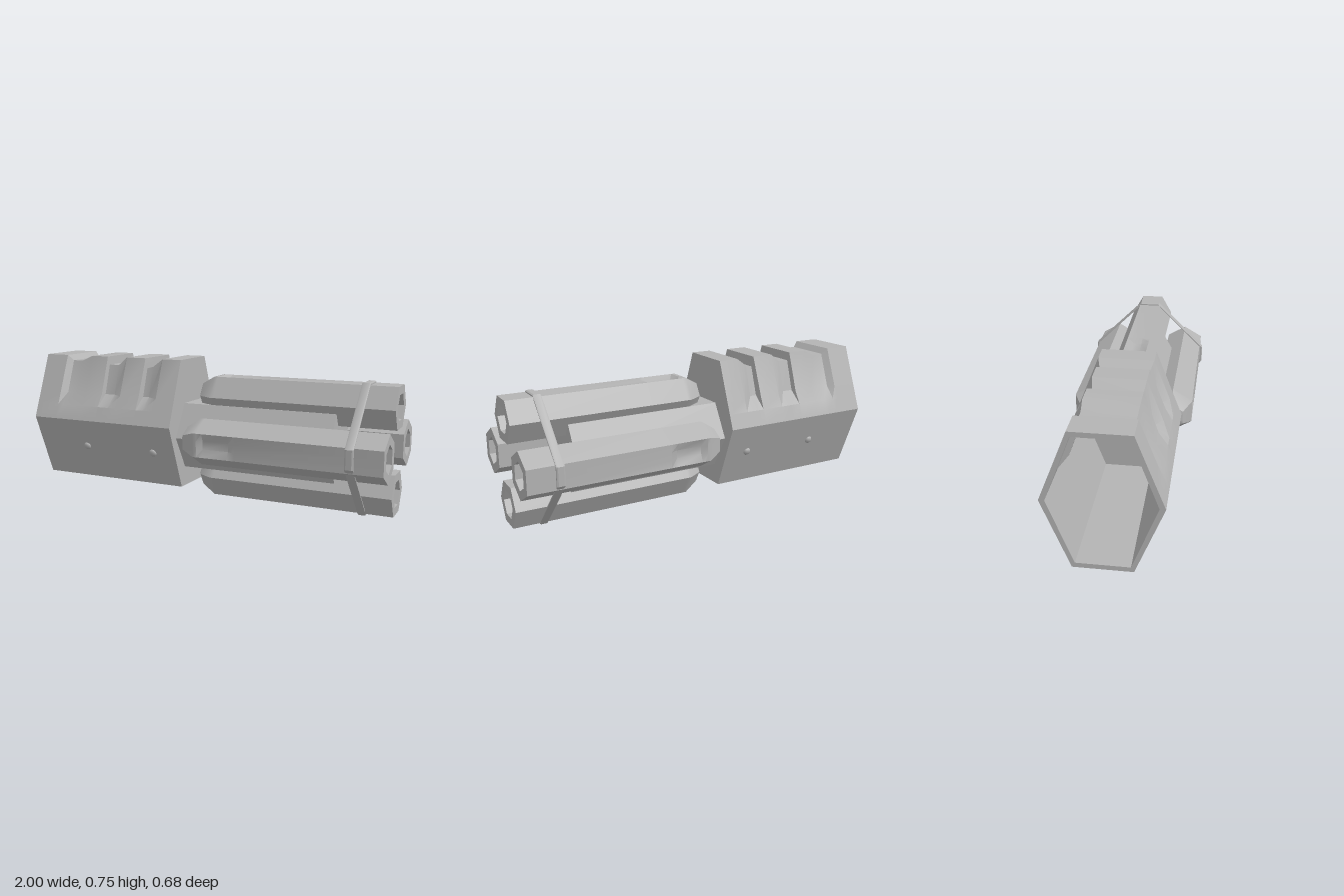
import * as THREE from 'three';
import { toCreasedNormals } from 'three/addons/utils/BufferGeometryUtils.js';

const metal = new THREE.MeshStandardMaterial({ color: 0xb3b3b3 });
metal.name = 'grey metal';
const AXIS_Y = 0.336;

// Skin a chain of rings (points run from +y towards +z), with flat end caps
function loft(name, rings, capped = true) {
  const pos = [];
  const tri = (...pts) => pts.forEach((p) => pos.push(p.x, p.y, p.z));
  const n = rings[0].length;
  for (let r = 0; r < rings.length - 1; r++) {
    const a = rings[r], b = rings[r + 1];
    for (let i = 0; i < n; i++) {
      const j = (i + 1) % n;
      tri(a[i], a[j], b[i]);
      tri(a[j], b[j], b[i]);
    }
  }
  if (capped) {
    const middle = (ring) => ring.reduce((s, p) => s.add(p), new THREE.Vector3()).divideScalar(n);
    const first = rings[0], last = rings[rings.length - 1];
    const c0 = middle(first), c1 = middle(last);
    for (let i = 0; i < n; i++) {
      const j = (i + 1) % n;
      tri(c0, first[j], first[i]);
      tri(c1, last[i], last[j]);
    }
  }
  const geo = new THREE.BufferGeometry();
  geo.setAttribute('position', new THREE.Float32BufferAttribute(pos, 3));
  const mesh = new THREE.Mesh(toCreasedNormals(geo, 0.5), metal);
  mesh.name = name;
  return mesh;
}

// Ring from half an outline of [z, y], listed from top to bottom on the +z side
function mirroredRing(x, half) {
  const left = half.map(([z, y]) => new THREE.Vector3(x, y, z));
  const right = half.map(([z, y]) => new THREE.Vector3(x, y, -z)).reverse();
  return [...left, ...right];
}

// Hexagon with a flat on top; the top flat has two extra points that can sink
function hexRing(x, r, dent = 0) {
  const f = r * 0.866;
  return mirroredRing(x, [[r * 0.17, f - dent], [r * 0.5, f], [r, 0], [r * 0.5, -f]]);
}

// Housing section: x, top height, top half-width, side inset
const stations = [
  [-1, 0.745, 0.14, 0], [-0.86, 0.745, 0.14, 0],
  [-0.83, 0.715, 0.125, 0.03], [-0.77, 0.715, 0.125, 0.03],
  [-0.70, 0.745, 0.13, 0.02], [-0.595, 0.745, 0.13, 0.02],
  [-0.59, 0.70, 0.12, 0.05], [-0.53, 0.70, 0.12, 0.05],
  [-0.47, 0.745, 0.13, 0.01], [-0.352, 0.745, 0.13, 0.01],
  [-0.347, 0.69, 0.12, 0.05], [-0.31, 0.70, 0.12, 0.05],
  [-0.24, 0.745, 0.14, 0], [-0.13, 0.745, 0.14, 0],
];

function housingRing([x, top, half, inset], inner) {
  const outline = [[half, top], [0.22 - inset, 0.54], [0.245, 0.477], [0.275, 0.4], [0.14, 0.055]];
  return mirroredRing(inner ? Math.min(x, -0.16) : x,
    outline.map(([z, y]) => (inner ? [z * 0.9, 0.4 + (y - 0.4) * 0.93] : [z, y])));
}

export function createModel() {
  const model = new THREE.Group();
  model.name = 'barrelCluster';

  // Hollow housing, open at the rear, with grooves across its top
  model.add(loft('housing', [
    ...[...stations].reverse().map((s) => housingRing(s, true)),
    ...stations.map((s) => housingRing(s, false)),
  ]));

  // Screws on both sloping sides
  const slope = Math.atan2(0.135, 0.345);
  for (const side of [1, -1]) {
    for (const x of [-0.69, -0.265]) {
      const holder = new THREE.Group();
      holder.name = 'screw';
      const head = new THREE.Mesh(new THREE.SphereGeometry(0.022, 8, 6), metal);
      head.name = 'screwHead';
      head.scale.z = 0.6;
      holder.add(head);
      holder.position.set(x, 0.245, side * 0.214);
      holder.rotation.x = side * slope;
      model.add(holder);
    }
  }

  // Central hexagonal core
  const core = loft('core', [hexRing(-0.14, 0.202), hexRing(0.71, 0.202)]);
  core.position.y = AXIS_Y;
  model.add(core);

  // Four hollow hexagonal barrels, each with a sunken slot on its outer flat
  for (let i = 0; i < 4; i++) {
    const holder = new THREE.Group();
    holder.name = 'barrelMount';
    const barrel = loft('barrel', [
      hexRing(-0.07, 0.03), hexRing(-0.05, 0.072), hexRing(0.03, 0.122),
      hexRing(0.05, 0.122), hexRing(0.08, 0.122, 0.018), hexRing(0.22, 0.122, 0.018),
      hexRing(0.26, 0.122), hexRing(1, 0.122),
      hexRing(1, 0.073), hexRing(0.7, 0.073),
    ]);
    barrel.position.y = 0.216;
    holder.add(barrel);
    holder.position.y = AXIS_Y;
    holder.rotation.x = i * Math.PI / 2;
    model.add(holder);
  }

  // Strap around the barrels near the muzzles
  const strapRing = (x, inset) => mirroredRing(x, [
    [0.055, 0.332 - inset], [0.338 - inset, 0.055], [0.338 - inset, -0.04], [0.048, -0.336 + inset],
  ]);
  const strap = loft('strap', [
    strapRing(0.82, 0.012), strapRing(0.82, 0.004), strapRing(0.827, 0), strapRing(0.855, 0),
    strapRing(0.862, 0.004), strapRing(0.862, 0.012), strapRing(0.82, 0.012),
  ], false);
  strap.position.y = AXIS_Y;
  model.add(strap);

  return model;
}
